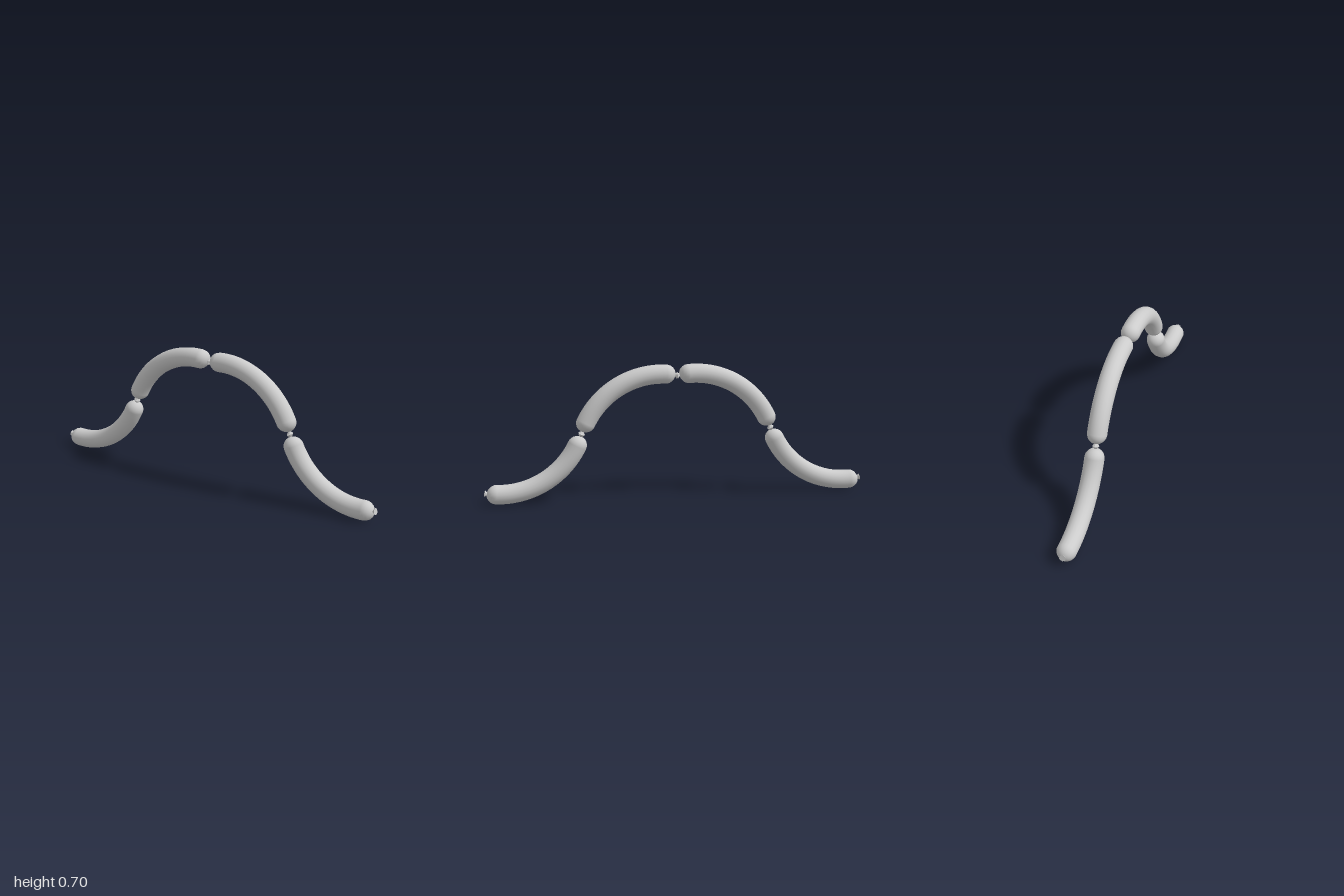
import * as THREE from 'three';

const BEND = 0.433;      // radius of each link's curve
const RADIUS = 0.05;     // thickness of a link
const KNOT = 0.011;      // length of a twisted end
const CENTRE = new THREE.Vector2(0.0885, 0.214);  // curve centre of an upper link
const JOINT = new THREE.Vector2(0.4995, 0.3485);  // where upper and lower links meet

// Angles from vertical at which an upper link starts and ends
const START = Math.asin(-CENTRE.x / BEND);
const END = Math.asin((JOINT.x - CENTRE.x) / BEND);
const SWEEP = END - START;

const material = new THREE.MeshStandardMaterial({ color: 0xcccccc });
const knotMaterial = new THREE.MeshStandardMaterial({ color: 0xcccccc, flatShading: true });

// A capsule wrapped around the z axis at the bend radius
function bentCapsule() {
  const straight = SWEEP * BEND - 2 * KNOT - 2 * RADIUS;
  const geo = new THREE.CapsuleGeometry(RADIUS, straight, 6, 18, 24);
  const pos = geo.attributes.position, nor = geo.attributes.normal;
  const axis = new THREE.Vector3(0, 0, 1);
  const p = new THREE.Vector3(), n = new THREE.Vector3();
  for (let i = 0; i < pos.count; i++) {
    p.fromBufferAttribute(pos, i);
    n.fromBufferAttribute(nor, i);
    const a = p.y / BEND;
    p.set(BEND + p.x, 0, p.z).applyAxisAngle(axis, a);
    n.applyAxisAngle(axis, a);
    pos.setXYZ(i, p.x, p.y, p.z);
    nor.setXYZ(i, n.x, n.y, n.z);
  }
  return geo;
}

export function createModel() {
  const model = new THREE.Group();
  model.name = 'sausageChain';
  const bodyGeo = bentCapsule();
  // Six-sided flare, narrow at the link and wide at its outer end
  const knotGeo = new THREE.CylinderGeometry(0.018, 0.006, KNOT + 0.004, 6);
  knotGeo.rotateY(Math.PI / 6);

  function addLink(name, x, y, angle) {
    const link = new THREE.Group();
    link.name = name;
    const body = new THREE.Mesh(bodyGeo, material);
    body.name = 'casing';
    link.add(body);
    for (const s of [-1, 1]) {
      const a = s * (SWEEP / 2 - (KNOT + 0.004) / 2 / BEND);
      const knot = new THREE.Mesh(knotGeo, knotMaterial);
      knot.name = 'twistedEnd';
      knot.position.set(BEND * Math.cos(a), BEND * Math.sin(a), 0);
      knot.rotation.z = a + (s < 0 ? Math.PI : 0);
      link.add(knot);
    }
    link.position.set(x, y, 0);
    link.rotation.z = angle;
    model.add(link);
  }

  // Upper links arch up; lower links are the same shape turned about the joint
  const mid = Math.PI / 2 - (START + END) / 2;
  for (const s of [1, -1]) {
    const side = s > 0 ? 'left' : 'right';
    const angle = s > 0 ? mid : Math.PI - mid;
    addLink(side + 'UpperLink', s * CENTRE.x, CENTRE.y, angle);
    addLink(side + 'LowerLink', s * (2 * JOINT.x - CENTRE.x), 2 * JOINT.y - CENTRE.y, angle + Math.PI);
  }
  return model;
}
